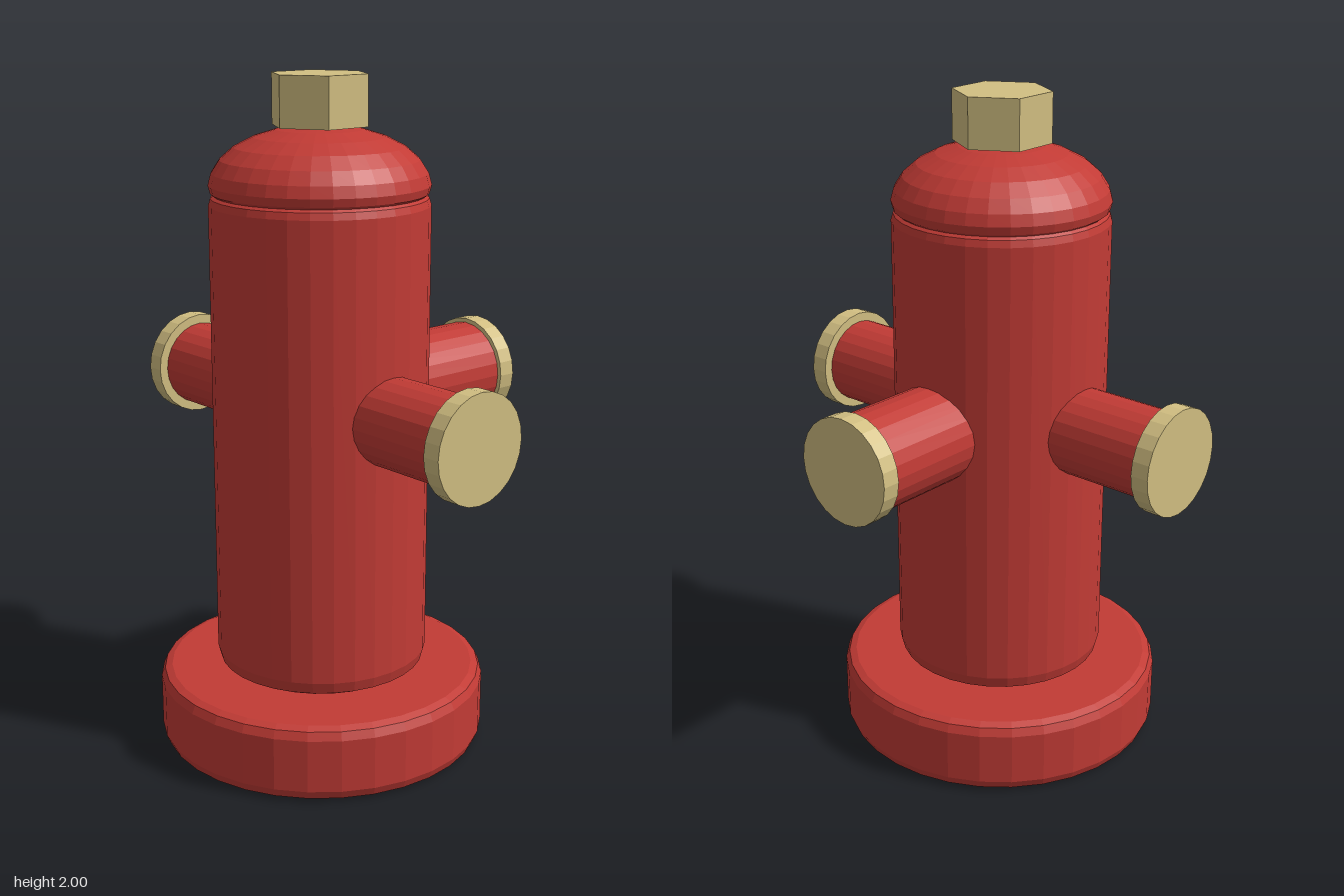
import * as THREE from 'three';

const red = new THREE.MeshStandardMaterial({ color: 0xc23b35, flatShading: true });
const brass = new THREE.MeshStandardMaterial({ color: 0xd2bf82, flatShading: true });

function addMesh(parent, name, geometry, material) {
  const mesh = new THREE.Mesh(geometry, material);
  mesh.name = name;
  parent.add(mesh);
  return mesh;
}

// Turned part from [radius, height] pairs, bottom to top
function turned(parent, name, profile) {
  const points = profile.map(([r, y]) => new THREE.Vector2(r, y));
  return addMesh(parent, name, new THREE.LatheGeometry(points, 32), red);
}

// Outlet pipe with a brass cap, lying along +x before it is turned about y
function addOutlet(parent, name, radius, capStart, angle) {
  const outlet = new THREE.Group();
  outlet.name = name;
  outlet.position.y = 1.055;
  outlet.rotation.y = angle;
  const start = 0.2;
  const capDepth = 0.055;
  const pipe = addMesh(outlet, 'outletPipe',
    new THREE.CylinderGeometry(radius, radius, capStart - start, 24), red);
  pipe.rotation.z = -Math.PI / 2;
  pipe.position.x = (start + capStart) / 2;
  const cap = addMesh(outlet, 'outletCap',
    new THREE.CylinderGeometry(0.158, 0.158, capDepth, 24), brass);
  cap.rotation.z = -Math.PI / 2;
  cap.position.x = capStart + capDepth / 2;
  parent.add(outlet);
}

export function createModel() {
  const model = new THREE.Group();
  model.name = 'fireHydrant';

  // Everything turns on one upright axis, set forward to balance the rear outlet
  const hydrant = new THREE.Group();
  hydrant.name = 'hydrant';
  hydrant.position.z = 0.082;
  model.add(hydrant);

  // Foot flange with rounded rims
  turned(hydrant, 'base', [
    [0, 0.005], [0.46, 0.005], [0.482, 0.014], [0.493, 0.04],
    [0.493, 0.198], [0.482, 0.222], [0.46, 0.231], [0, 0.231],
  ]);

  // Barrel with rounded ends
  turned(hydrant, 'barrel', [
    [0, 0.225], [0.24, 0.235], [0.285, 0.243], [0.309, 0.256], [0.318, 0.29],
    [0.318, 1.635], [0.312, 1.655], [0.3, 1.664], [0, 1.664],
  ]);

  // Domed bonnet
  turned(hydrant, 'bonnet', [
    [0, 1.655], [0.3, 1.66], [0.312, 1.669], [0.318, 1.692], [0.309, 1.725],
    [0.285, 1.762], [0.245, 1.797], [0.19, 1.825], [0.125, 1.845],
    [0.06, 1.854], [0, 1.857],
  ]);

  // Hexagonal operating nut, corners to front and back
  const nut = addMesh(hydrant, 'operatingNut',
    new THREE.CylinderGeometry(0.144, 0.144, 0.145, 6), brass);
  nut.position.y = 1.9275;

  // Two side outlets and a wider rear one
  addOutlet(hydrant, 'leftOutlet', 0.13, 0.6, 0);
  addOutlet(hydrant, 'rightOutlet', 0.13, 0.6, Math.PI);
  addOutlet(hydrant, 'rearOutlet', 0.145, 0.604, Math.PI / 2);

  return model;
}
